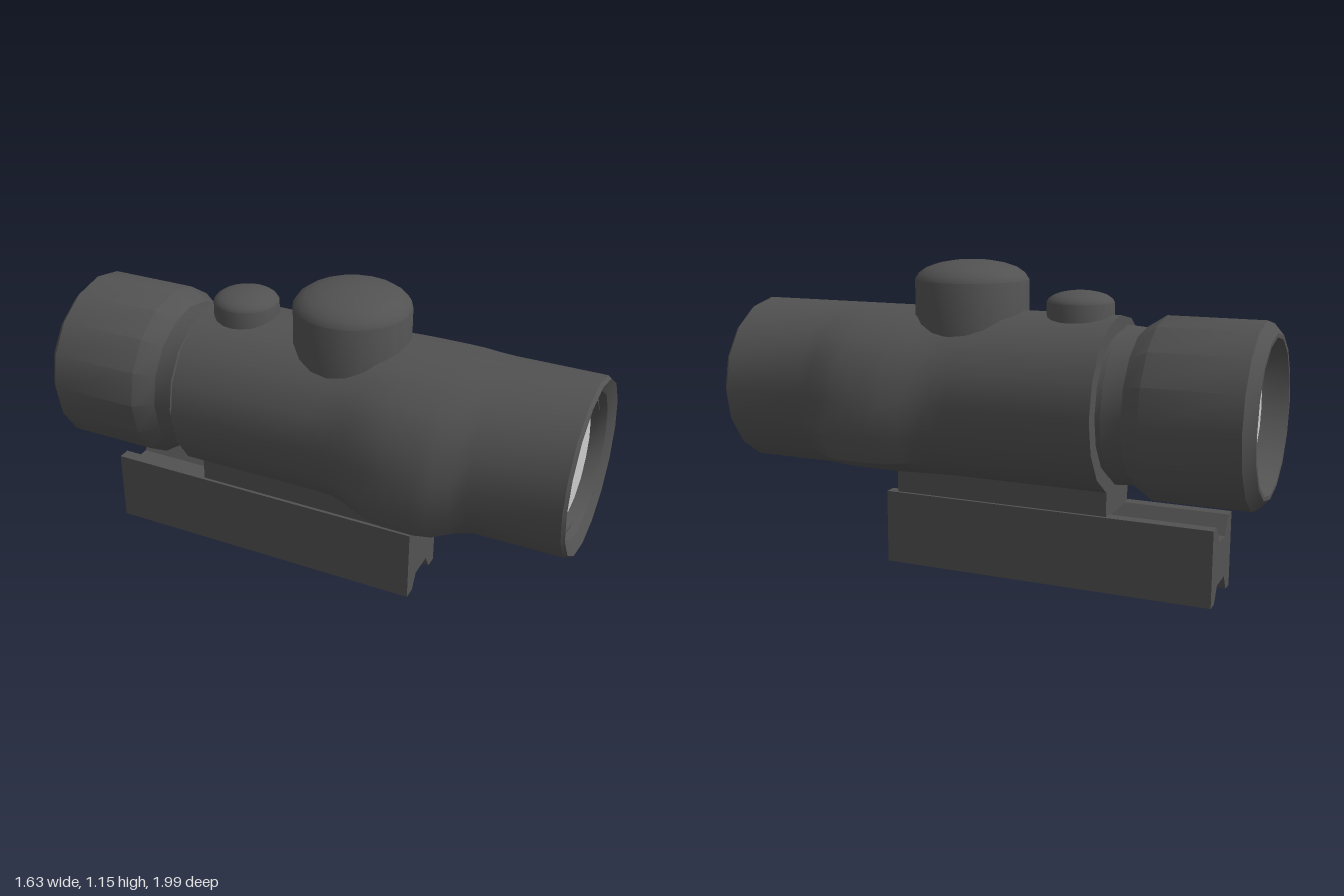
import * as THREE from 'three';
import { toCreasedNormals } from 'three/addons/utils/BufferGeometryUtils.js';

const AXIS_Y = 0.658; // height of the optical axis
const SIDES = 16;
const dark = new THREE.MeshStandardMaterial({ color: 0x525252 });
const glass = new THREE.MeshStandardMaterial({ color: 0xcccccc });

// Profile of [radius, position] pairs spun about the vertical axis
function lathe(profile, sides = SIDES) {
  return new THREE.LatheGeometry(profile.map(([r, h]) => new THREE.Vector2(r, h)), sides);
}

// Same, laid along z so that the position runs from rear to front
function tube(profile) {
  return lathe(profile).rotateX(Math.PI / 2);
}

function add(group, name, geometry, material, x = 0, y = 0, z = 0) {
  const mesh = new THREE.Mesh(toCreasedNormals(geometry, 0.6), material);
  mesh.name = name;
  mesh.position.set(x, y, z);
  group.add(mesh);
  return mesh;
}

// Swell the flanks of the housing ahead of the turret, fullest low down
function swellFlanks(geometry) {
  const p = geometry.attributes.position;
  const smooth = THREE.MathUtils.smoothstep;
  for (let i = 0; i < p.count; i++) {
    const x = p.getX(i), y = p.getY(i), z = p.getZ(i);
    const r = Math.hypot(x, y);
    if (r < 0.31 || Math.abs(x) < 0.02) continue;
    const along = smooth(z, 0.1, 0.36) * (1 - smooth(z, 0.5, 0.66));
    const sin = y / r;
    const low = Math.max(0, -sin) * (1 - smooth(-sin, 0.72, 0.98));
    const push = along * (0.045 * Math.abs(x) / r + 0.1 * low);
    p.setX(i, x + Math.sign(x) * push);
  }
  return geometry;
}

// Low knob: straight wall with a shallow domed top
function knob(radius, wallTop, top, bottom) {
  const profile = [[radius, bottom], [radius, wallTop]];
  for (let i = 1; i <= 5; i++) {
    const a = (i / 5) * Math.PI / 2;
    profile.push([
      i === 5 ? 0 : radius * (0.95 * Math.cos(a) + 0.03),
      wallTop + (top - wallTop) * Math.sin(a),
    ]);
  }
  return lathe(profile, 20);
}

export function createModel() {
  const model = new THREE.Group();
  model.name = 'opticalSight';
  const sight = new THREE.Group();
  sight.name = 'sightAssembly';
  sight.rotation.y = THREE.MathUtils.degToRad(34);
  model.add(sight);

  // Main housing, with a stepped recess at the front
  const housing = [[0.2, -0.474], [0.317, -0.474]];
  for (let z = 0.06; z < 0.72; z += 0.06) housing.push([0.317, z]);
  housing.push([0.317, 0.975], [0.308, 0.987], [0.262, 0.965], [0.25, 0.94],
    [0.232, 0.945], [0.222, 0.915], [0.19, 0.92]);
  add(sight, 'housing', swellFlanks(tube(housing)), dark, 0, AXIS_Y, 0);

  // Rear eyepiece with neck, flared collar and recess
  add(sight, 'eyepiece', tube([
    [0.2, -0.93], [0.225, -0.945], [0.27, -1.018], [0.285, -1.018], [0.325, -0.982],
    [0.325, -0.64], [0.28, -0.57], [0.285, -0.5], [0.262, -0.492], [0.262, -0.46],
  ]), dark, 0, AXIS_Y, 0);

  // Lenses
  add(sight, 'frontLens', tube([[0.192, 0.925], [0, 0.93]]), glass, 0, AXIS_Y, 0);
  add(sight, 'rearLens', tube([[0, -0.94], [0.203, -0.935]]), glass, 0, AXIS_Y, 0);

  // Adjustment knobs on top
  add(sight, 'largeTurret', knob(0.21, 1.08, 1.15, 0.8), dark, 0, 0, 0.097);
  add(sight, 'smallTurret', knob(0.12, 1.015, 1.055, 0.85), dark, 0, 0, -0.325);

  // Riser between housing and rail clamp
  add(sight, 'riser', new THREE.BoxGeometry(0.24, 0.22, 0.828), dark, 0, 0.38, -0.06);

  // Rail clamp, grooved above and below along its whole length
  const half = [[0.085, 0], [0.05, 0.058], [-0.05, 0.058], [-0.085, 0],
    [-0.132, 0], [-0.132, 0.277], [-0.085, 0.277], [-0.04, 0.21],
    [0.04, 0.21], [0.085, 0.277], [0.132, 0.277], [0.132, 0]];
  const section = new THREE.Shape(half.map(([x, y]) => new THREE.Vector2(x, y)));
  const rail = new THREE.ExtrudeGeometry(section, { depth: 1.255, bevelEnabled: false });
  add(sight, 'railClamp', rail, dark, 0, 0, -0.86);

  return model;
}
